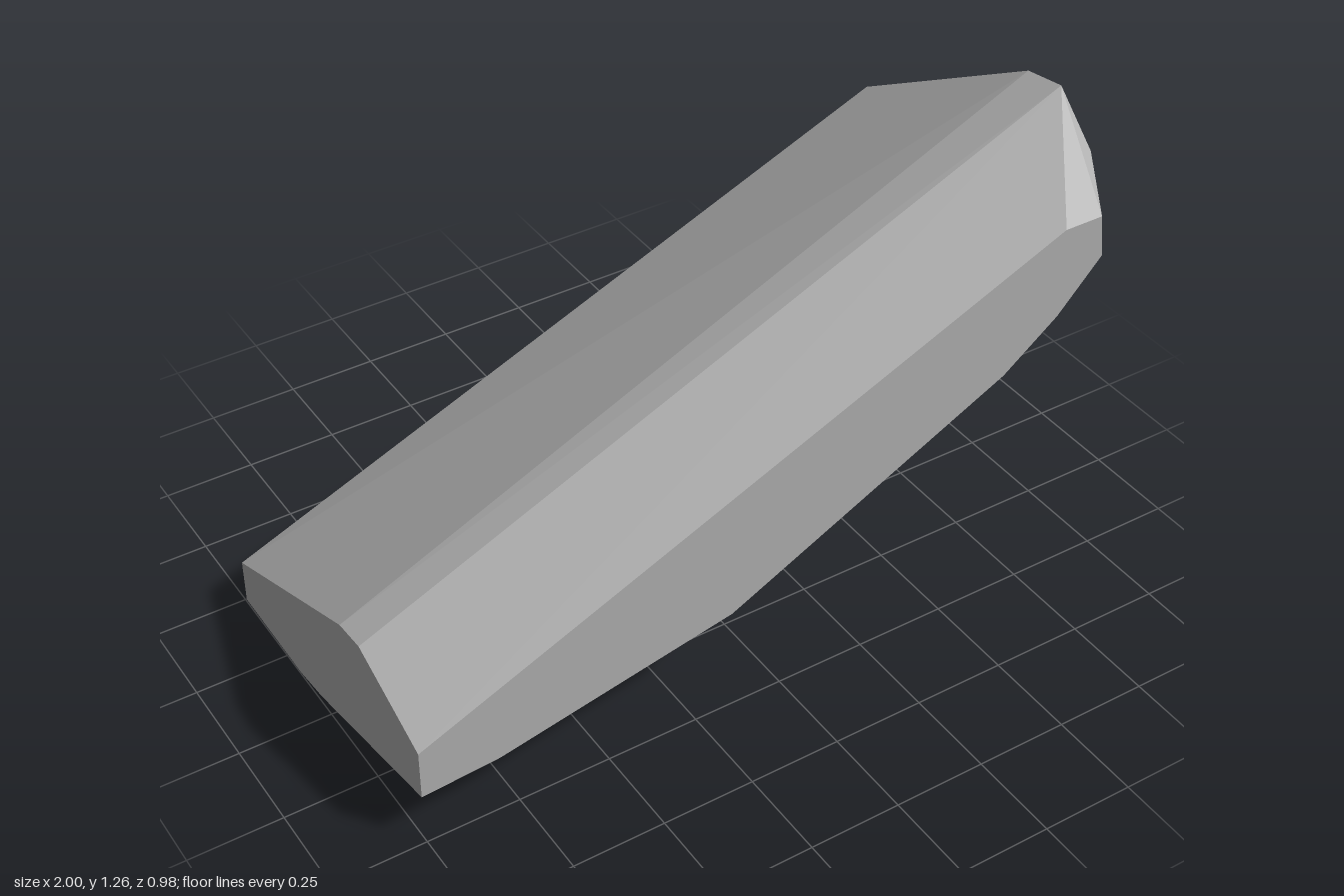
import * as THREE from 'three';
import { ConvexGeometry } from 'three/addons/geometries/ConvexGeometry.js';

export function createModel() {
  const group = new THREE.Group();
  group.name = 'rockSlab';
  const stone = new THREE.MeshStandardMaterial({ color: 0xb0b0b0 });
  stone.name = 'grey stone';

  // flat front cut, as x, y at z = 0.49
  const front = [[-1, 0.28], [0.81, 1.065], [0.92, 1.065], [0.935, 0.945], [0.81, 0.81],
    [0.655, 0.69], [-0.14, 0.29], [-0.79, 0.155], [-1, 0.14]];
  // flat back cut, as x, y at z = -0.49
  const back = [[-1, 0.135], [0.938, 0.93], [1, 0.74], [0.73, 0.475], [0.4, 0.295],
    [0.1, 0.165], [-0.38, 0.003], [-1, 0.008]];
  // top ridge and the corners of the two ends, as x, y, z
  const ridge = [[-1, 0.395, 0.21], [1, 1.265, 0.21], [-1, 0.385, 0.11], [1, 1.245, 0.085]];
  const ends = [[1, 1.145, 0.34], [1, 1.0, 0.23], [1, 0.88, 0.1], [1, 0.76, -0.05],
    [1, 0.74, -0.21], [-1, 0.02, -0.05], [-1, 0.005, -0.17]];
  // worn corners of the underside
  const underside = [[0.93, 0.695, -0.03], [0.935, 0.675, -0.145], [0.8, 0.57, -0.04],
    [0.735, 0.475, -0.22], [0.65, 0.425, -0.15], [0.66, 0.42, -0.28], [0.12, 0.18, -0.15],
    [0.4, 0.29, -0.29], [0.11, 0.16, -0.3], [-0.27, 0.025, -0.18], [-0.27, 0.02, -0.42],
    [-0.39, 0, -0.3]];

  const points = [
    ...front.map(([x, y]) => [x, y, 0.49]),
    ...back.map(([x, y]) => [x, y, -0.49]),
    ...ridge, ...ends, ...underside,
  ].map((p) => new THREE.Vector3(...p));

  const slab = new THREE.Mesh(new ConvexGeometry(points), stone);
  slab.name = 'slab';
  group.add(slab);
  return group;
}
